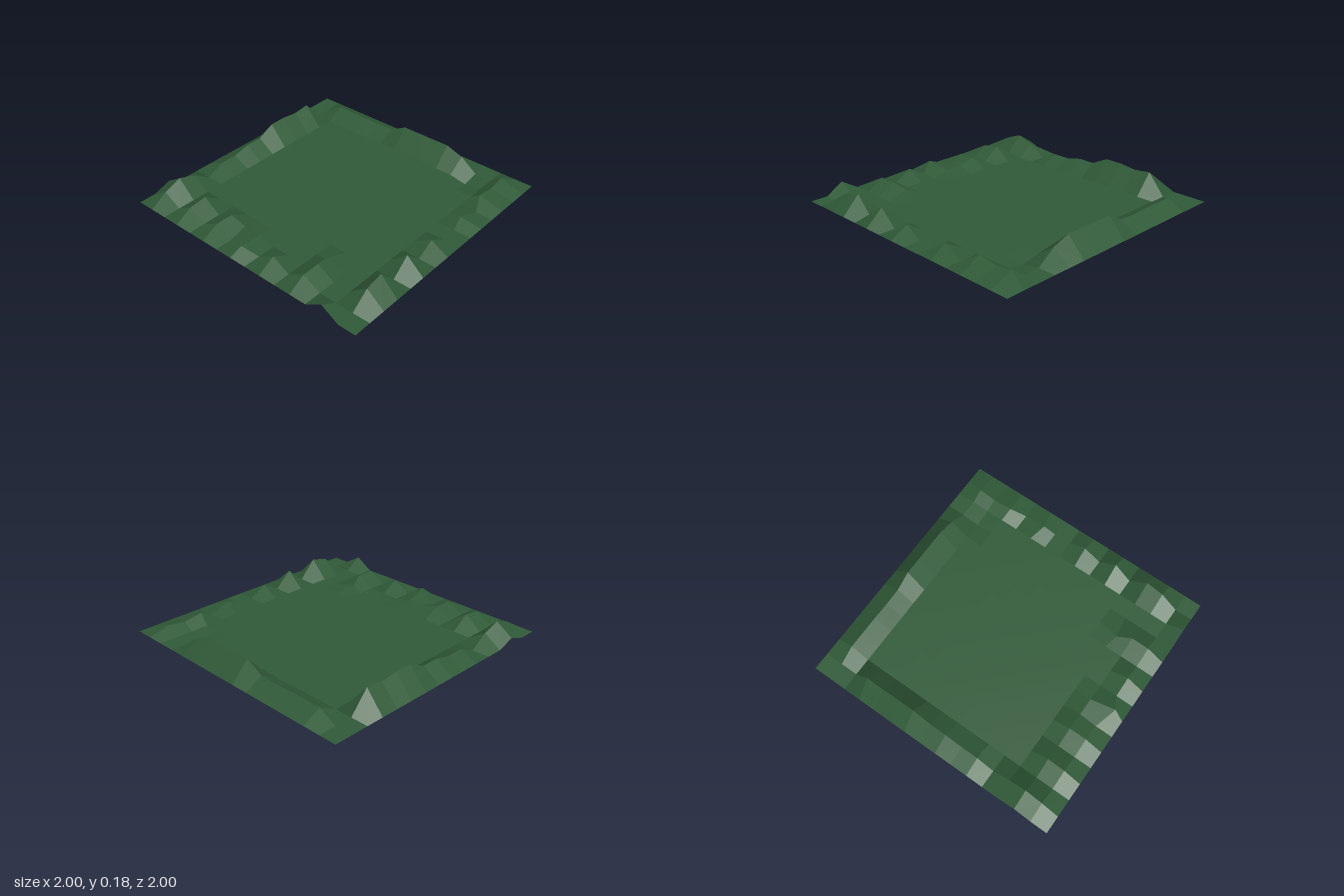
import * as THREE from 'three';

const CELLS = 15;
const STEP = 2 / CELLS;
const GROUND = 0.025;

// Grid of [x, y, z] points, lying flat at ground level
function flatGrid() {
  return Array.from({ length: CELLS + 1 }, (_, row) =>
    Array.from({ length: CELLS + 1 }, (_, col) => [-1 + col * STEP, GROUND, -1 + row * STEP]));
}

function shapeTerrain(grid) {
  // Back ridge, one row in from the edge
  [0.105, 0.155, 0.11, GROUND, 0.085, 0.085, 0.115, 0.115, 0.18, 0.18, 0.165, 0.18]
    .forEach((y, i) => { grid[1][i + 1][1] = y; });
  grid[0][2][1] = 0.07;

  // Right-hand ridge along x = 0.87
  [0.095, 0.095, 0.095, 0.09, 0.095, 0.165, 0.165, 0.165, 0.165, 0.12]
    .forEach((y, i) => { grid[i + 2][14][1] = y; });

  // Front ridge of separate peaks
  [0.13, 0.16, GROUND, 0.14, GROUND, 0.1, GROUND, GROUND]
    .forEach((y, i) => { grid[14][i + 2][1] = y; });
  grid[14][10] = [0.29, 0.08, 0.85];
  grid[14][12] = [0.58, 0.09, 0.82];
  grid[14][13] = [0.73, 0.07, 0.82];
  grid[14][14] = [0.86, 0.09, 0.82];

  // Small peaks on every other row of the left side: [row, column, height]
  [[3, 1, 0.1], [3, 2, 0.115], [5, 1, 0.09], [5, 2, 0.09], [6, 2, 0.06], [7, 2, 0.05],
    [9, 1, 0.1], [11, 1, 0.1], [11, 2, 0.1], [13, 0, 0.105]]
    .forEach(([row, col, y]) => { grid[row][col][1] = y; });
  grid[7][1] = [-0.92, 0.09, -0.04];
  grid[11][3] = [-0.63, 0.06, 0.43];

  // Dip in the front right
  grid[12][13][1] = 0;
  return grid;
}

// Every cell is one facet: both triangles share the normal across the diagonals
function facetedSurface(grid) {
  const positions = [];
  const normals = [];
  for (let row = 0; row < CELLS; row++) {
    for (let col = 0; col < CELLS; col++) {
      const [a, b, c, d] = [grid[row][col], grid[row + 1][col], grid[row + 1][col + 1], grid[row][col + 1]]
        .map((p) => new THREE.Vector3(...p));
      const normal = c.clone().sub(a).cross(d.clone().sub(b)).normalize();
      for (const p of [a, b, d, b, c, d]) {
        positions.push(p.x, p.y, p.z);
        normals.push(normal.x, normal.y, normal.z);
      }
    }
  }
  const geometry = new THREE.BufferGeometry();
  geometry.setAttribute('position', new THREE.Float32BufferAttribute(positions, 3));
  geometry.setAttribute('normal', new THREE.Float32BufferAttribute(normals, 3));
  return geometry;
}

export function createModel() {
  const group = new THREE.Group();
  group.name = 'terrainTile';
  const grass = new THREE.MeshStandardMaterial({ color: 0x305a38, side: THREE.DoubleSide });
  grass.name = 'grassGreen';
  const terrain = new THREE.Mesh(facetedSurface(shapeTerrain(flatGrid())), grass);
  terrain.name = 'terrain';
  group.add(terrain);
  return group;
}
